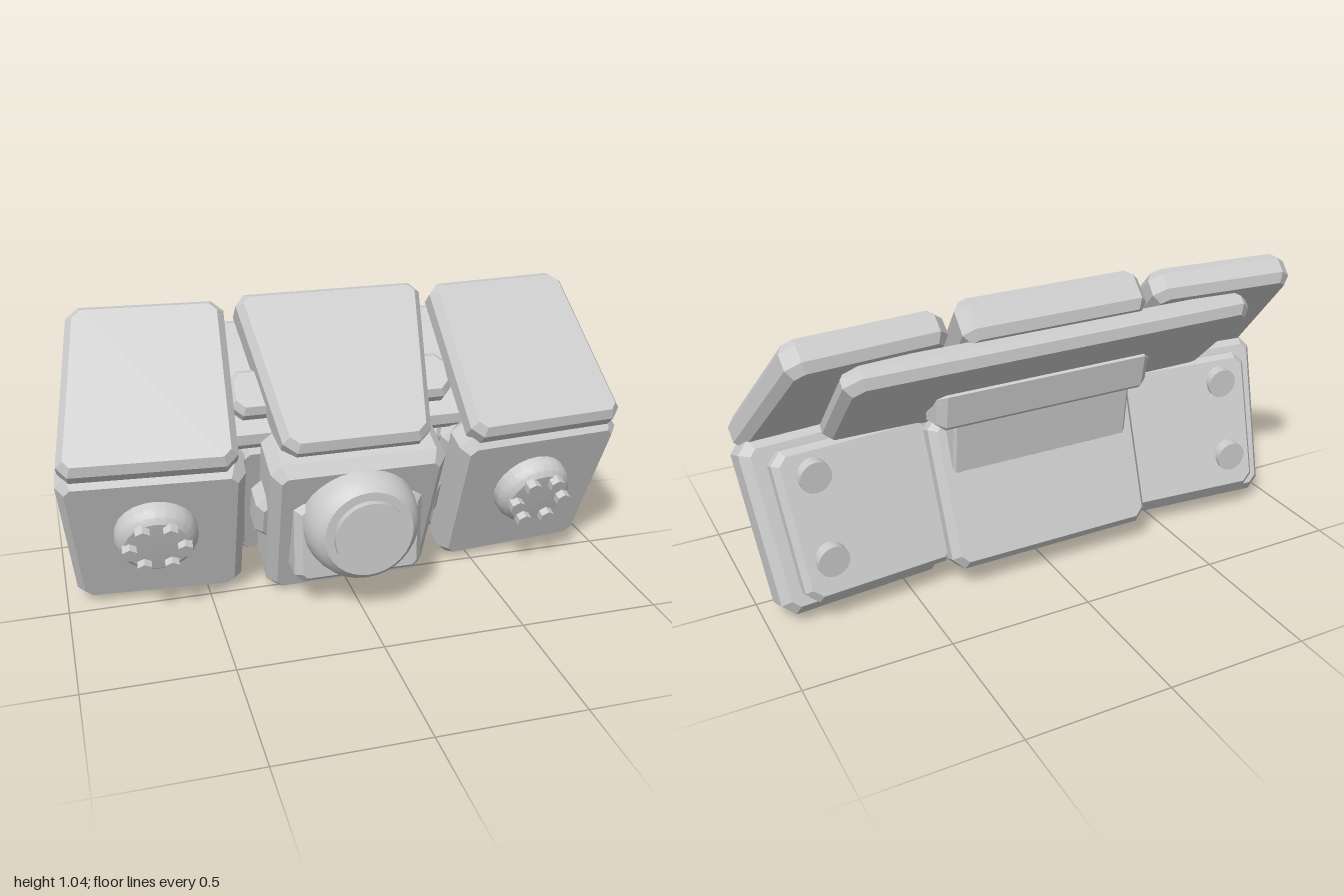
import * as THREE from 'three';
import { toCreasedNormals } from 'three/addons/utils/BufferGeometryUtils.js';

const grey = new THREE.MeshStandardMaterial({ color: 0xcccccc });
grey.name = 'plain grey';

const LOW = THREE.MathUtils.degToRad(21);   // lower row leans forward at its top
const HIGH = THREE.MathUtils.degToRad(-45); // upper row leans back
const TURN = THREE.MathUtils.degToRad(4.8); // outer panels wrap backwards

function add(parent, name, geometry) {
  const mesh = new THREE.Mesh(geometry, grey);
  mesh.name = name;
  parent.add(mesh);
  return mesh;
}

// Polygon with every corner cut off
function cutCorners(points, cut) {
  const out = [];
  points.forEach((p, i) => {
    const here = new THREE.Vector2(...p);
    for (const step of [points.length - 1, 1]) {
      const next = new THREE.Vector2(...points[(i + step) % points.length]);
      out.push(here.clone().add(next.sub(here).setLength(cut)));
    }
  });
  return new THREE.Shape(out);
}

// Bevelled plate between depths z0 and z1
function slab(points, z0, z1, bevel, cut = 0.04) {
  const geometry = new THREE.ExtrudeGeometry(cutCorners(points, cut), {
    depth: z1 - z0 - 2 * bevel, bevelEnabled: true, bevelSegments: 1,
    bevelSize: bevel * 0.8, bevelThickness: bevel, bevelOffset: -bevel * 0.8,
  });
  return geometry.translate(0, 0, z0 + bevel);
}

// Symmetric outline: half widths at the bottom and the top
const trapezoid = (bottom, top, y0, y1) => [[-bottom, y0], [bottom, y0], [top, y1], [-top, y1]];

function lathe(profile, segments) {
  const points = profile.map(([r, y]) => new THREE.Vector2(r, y));
  return toCreasedNormals(new THREE.LatheGeometry(points, segments).rotateX(Math.PI / 2), 0.5);
}

function tilted(parent, name, angle) {
  const group = new THREE.Group();
  group.name = name;
  group.rotation.x = angle;
  parent.add(group);
  return group;
}

function sidePanels(s) {
  const side = new THREE.Group();
  side.name = s > 0 ? 'leftPanels' : 'rightPanels';
  side.position.x = s * 0.69;
  side.rotation.y = s * TURN;
  const outline = (pts) => pts.map(([x, y]) => [s * (x - 0.69), y]);

  // Upper plate
  const upper = tilted(side, 'upperSide', HIGH);
  add(upper, 'upperSidePlate',
    slab(outline([[0.395, 0.29], [0.99, 0.29], [0.925, 0.905], [0.395, 0.905]]), 0.455, 0.57, 0.03));

  // Lower box with its inset backing
  const lower = tilted(side, 'lowerSide', LOW);
  add(lower, 'lowerSideBox',
    slab(outline([[0.385, -0.012], [0.965, -0.012], [1.0, 0.58], [0.37, 0.58]]), -0.2, -0.045, 0.035));
  add(lower, 'lowerSideBacking',
    slab(outline([[0.36, 0.02], [0.9, 0.02], [0.925, 0.53], [0.36, 0.53]]), -0.26, -0.17, 0.025));

  // Round boss with a ring of hexagonal bolts
  const boss = new THREE.Group();
  boss.name = 'boltedBoss';
  boss.position.set(s * -0.01, 0.33, -0.05);
  lower.add(boss);
  add(boss, 'bossDisc',
    lathe([[0.142, -0.02], [0.142, 0.04], [0.13, 0.065], [0.11, 0.08], [0, 0.085]], 24));
  for (let i = 0; i < 6; i++) {
    const a = (i * Math.PI) / 3;
    const bolt = add(boss, 'bolt', new THREE.CylinderGeometry(0.028, 0.028, 0.05, 6).toNonIndexed());
    bolt.geometry.computeVertexNormals();
    bolt.rotation.x = Math.PI / 2;
    bolt.position.set(Math.cos(a) * 0.093, Math.sin(a) * 0.093, 0.085);
  }

  // Upright stubs on the back
  for (const [y, z] of [[0.495, -0.08], [0.235, -0.18]]) {
    const stub = add(side, 'rearStub', new THREE.CylinderGeometry(0.055, 0.055, 0.06, 20));
    stub.rotation.x = Math.PI / 2;
    stub.position.set(s * 0.11, y, z);
  }
  return side;
}

export function createModel() {
  const model = new THREE.Group();
  model.name = 'pouchBelt';
  model.add(sidePanels(1), sidePanels(-1));

  // Upper centre plate, long back plate and the bar between the panels
  const upper = tilted(model, 'upperCentre', HIGH);
  add(upper, 'upperCentrePlate', slab(trapezoid(0.255, 0.34, 0.285, 0.895), 0.455, 0.6, 0.03));
  add(upper, 'longBackPlate', slab(trapezoid(0.73, 0.74, 0.39, 0.87), 0.375, 0.465, 0.03, 0.05));
  add(upper, 'upperLink', slab(trapezoid(0.4, 0.4, 0.47, 0.64), 0.43, 0.525, 0.025));

  // Lower centre box, its backing and link bar
  const lower = tilted(model, 'lowerCentre', LOW);
  add(lower, 'lowerCentreBox', slab(trapezoid(0.295, 0.31, 0, 0.61), -0.21, 0.03, 0.04));
  add(lower, 'lowerCentreBacking', slab(trapezoid(0.38, 0.39, 0, 0.53), -0.305, -0.18, 0.03));
  add(lower, 'lowerLink', slab(trapezoid(0.34, 0.34, 0.22, 0.42), -0.17, -0.03, 0.03));

  // Upright base and round knob on the front
  add(model, 'knobBase', slab(trapezoid(0.23, 0.23, 0.11, 0.42), -0.02, 0.212, 0.03, 0.03));
  const knob = add(model, 'knobDome',
    lathe([[0.205, 0.08], [0.205, 0.205], [0.2, 0.24], [0.19, 0.275], [0.175, 0.3], [0.155, 0.32], [0, 0.32]], 32));
  knob.position.y = 0.335;
  const cap = add(model, 'knobCap', new THREE.CylinderGeometry(0.125, 0.125, 0.05, 32));
  cap.rotation.x = Math.PI / 2;
  cap.position.set(0, 0.335, 0.32);

  // Rear bracket joining the two rows: outlines in (-z, y), extruded along x
  const bracket = new THREE.Group();
  bracket.name = 'rearBracket';
  bracket.rotation.y = Math.PI / 2;
  model.add(bracket);
  add(bracket, 'bracketBlock',
    slab([[0.08, 0.585], [0.2, 0.6], [0.222, 0.74], [0.08, 0.65]], -0.4, 0.4, 0.03, 0.012));
  add(bracket, 'bracketWeb',
    slab([[0.05, 0.41], [0.165, 0.41], [0.185, 0.62], [0.05, 0.62]], -0.335, 0.335, 0.01, 0.01));

  return model;
}
